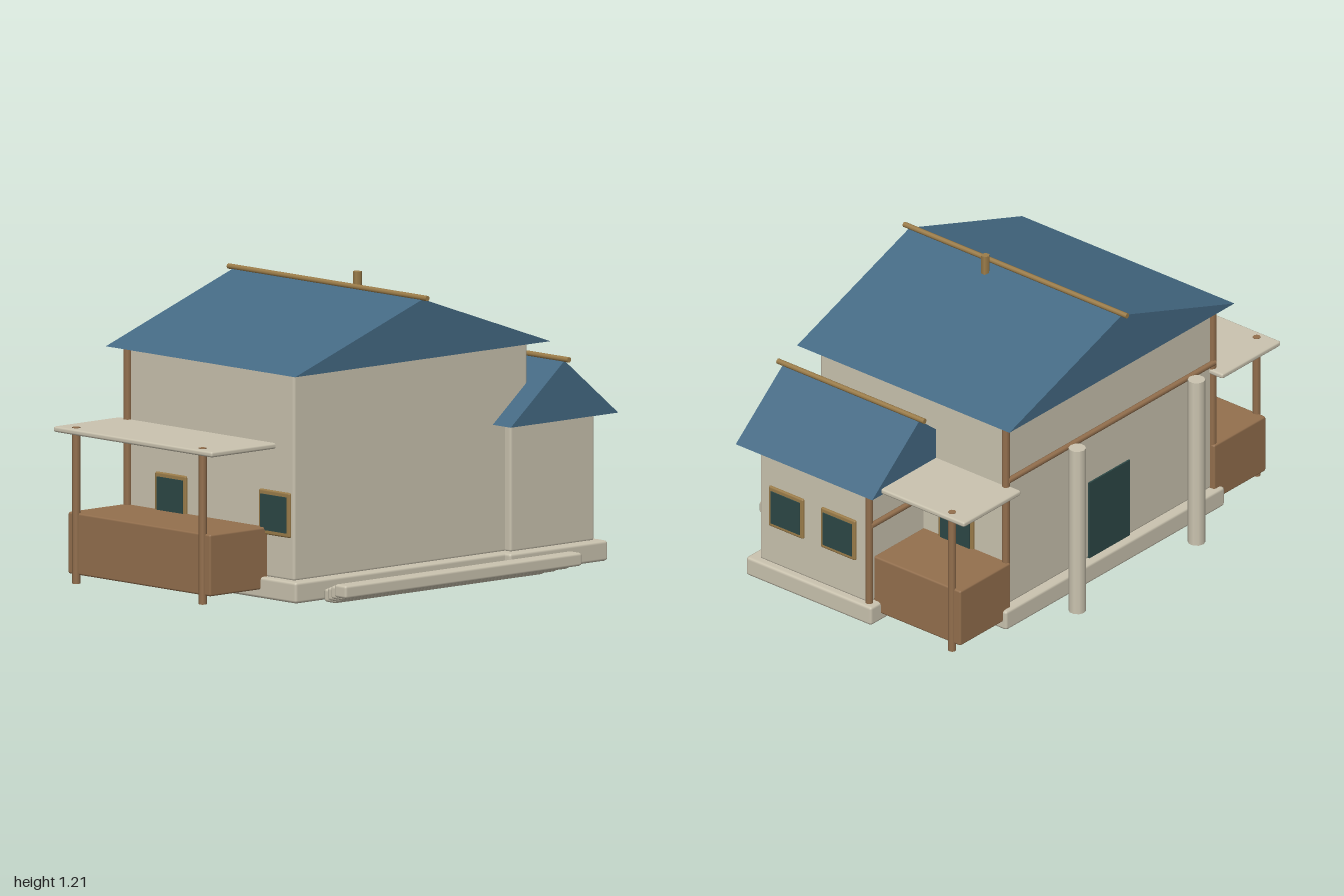
import * as THREE from 'three';
import { RoundedBoxGeometry } from 'three/addons/geometries/RoundedBoxGeometry.js';

const paint = (name, color) => {
  const m = new THREE.MeshStandardMaterial({ color });
  m.name = name;
  return m;
};

export function createModel() {
  const plaster = paint('plaster', 0xcbc4b0);
  const roofBlue = paint('roof blue', 0x456a84);
  const wood = paint('brown wood', 0x94704e);
  const trim = paint('golden trim', 0x9c7d4a);
  const glass = paint('dark glass', 0x2d4846);

  const house = new THREE.Group();
  house.name = 'house';

  const add = (name, geometry, material, parent = house) => {
    const mesh = new THREE.Mesh(geometry, material);
    mesh.name = name;
    parent.add(mesh);
    return mesh;
  };

  // Softly bevelled block given by its extents on each axis
  const block = (name, material, [x0, x1], [y0, y1], [z0, z1], bevel = 0.012) => {
    const w = x1 - x0, h = y1 - y0, d = z1 - z0;
    const r = Math.min(bevel, w * 0.4, h * 0.4, d * 0.4);
    const mesh = add(name, new RoundedBoxGeometry(w, h, d, 1, r), material);
    mesh.position.set((x0 + x1) / 2, (y0 + y1) / 2, (z0 + z1) / 2);
    return mesh;
  };

  // Straight round bar between two points
  const bar = (name, material, from, to, radius, sides = 8) => {
    const a = new THREE.Vector3(...from), b = new THREE.Vector3(...to);
    const dir = b.clone().sub(a);
    const mesh = add(name, new THREE.CylinderGeometry(radius, radius, dir.length(), sides), material);
    mesh.position.copy(a).add(b).multiplyScalar(0.5);
    mesh.quaternion.setFromUnitVectors(new THREE.Vector3(0, 1, 0), dir.normalize());
    return mesh;
  };

  // Solid gable roof with a ridge pole along z
  const gable = (name, [x0, x1], [y0, y1], [z0, z1], poleOverhang) => {
    const apex = (x0 + x1) / 2;
    const outline = new THREE.Shape([
      new THREE.Vector2(x0, y0), new THREE.Vector2(x1, y0), new THREE.Vector2(apex, y1),
    ]);
    const geometry = new THREE.ExtrudeGeometry(outline, { depth: z1 - z0, bevelEnabled: false });
    add(name, geometry, roofBlue).position.z = z0;
    bar(name + 'RidgePole', trim, [apex, y1 + 0.006, z0 - poleOverhang], [apex, y1 + 0.006, z1 + poleOverhang], 0.011);
  };

  // Foundations
  block('mainFoundation', plaster, [-0.69, 0.65], [0, 0.085], [-0.59, 0.46]);
  block('annexFoundation', plaster, [0.44, 0.97], [0.003, 0.085], [-0.16, 0.49]);

  // Walls
  block('mainWalls', plaster, [-0.655, 0.607], [0.08, 0.915], [-0.55, 0.412]);
  block('annexWalls', plaster, [0.485, 0.94], [0.08, 0.6], [-0.125, 0.443]);

  // Roofs and the short chimney post
  gable('mainRoof', [-0.715, 0.663], [0.913, 1.153], [-0.617, 0.483], 0.028);
  gable('annexRoof', [0.418, 0.998], [0.596, 0.834], [-0.19, 0.517], 0.027);
  bar('chimneyPost', trim, [0.028, 1.13, 0.045], [0.028, 1.21, 0.045], 0.018, 6);

  // Timber corner posts and cross beams on the rear walls
  for (const x of [-0.66, 0.605]) {
    bar('rearCornerPost', wood, [x, 0.085, -0.55], [x, 0.913, -0.55], 0.016);
  }
  bar('annexCornerPost', wood, [0.938, 0.085, -0.124], [0.938, 0.597, -0.124], 0.015);
  bar('rearBeam', wood, [-0.66, 0.65, -0.56], [0.605, 0.65, -0.56], 0.012);
  bar('annexBeam', wood, [0.6, 0.435, -0.133], [0.94, 0.435, -0.133], 0.012);

  // Wooden porches with flat canopies and slim posts
  block('rightPorchBox', wood, [-0.962, -0.645], [0.035, 0.282], [-0.572, 0.255], 0.008);
  block('leftPorchBox', wood, [0.6, 0.91], [0.035, 0.282], [-0.572, -0.12], 0.008);
  block('rightCanopy', plaster, [-1, -0.64], [0.6, 0.623], [-0.618, 0.305], 0.009);
  block('leftCanopy', plaster, [0.59, 0.942], [0.6, 0.623], [-0.618, -0.18], 0.009);
  for (const [x, z] of [[-0.96, -0.525], [-0.96, 0.21], [0.905, -0.525]]) {
    bar('porchPost', wood, [x, 0, z], [x, 0.626, z], 0.016);
  }

  // Windows on the side walls: wall x, centre z, outward direction
  const windows = [
    [0.94, 0.3, 1], [0.94, 0.03, 1], [0.607, -0.298, 1],
    [-0.655, -0.298, -1], [-0.655, 0.305, -1],
  ];
  for (const [x, z, out] of windows) {
    const frame = new THREE.Group();
    frame.name = 'window';
    frame.position.set(x, 0.343, z);
    add('windowFrame', new RoundedBoxGeometry(0.02, 0.18, 0.18, 1, 0.007), trim, frame);
    const pane = add('windowPane', new THREE.BoxGeometry(0.008, 0.144, 0.15), glass, frame);
    pane.position.x = out * 0.01;
    house.add(frame);
  }

  // Back door
  const door = add('backDoor', new THREE.BoxGeometry(0.25, 0.34, 0.009), glass);
  door.position.set(-0.022, 0.255, -0.553);

  // Free-standing rear columns
  for (const x of [-0.392, 0.338]) {
    bar('rearColumn', plaster, [x, 0, -0.694], [x, 0.735, -0.694], 0.035, 10);
  }

  // Front steps, each one wider, higher and further forward
  for (let i = 0; i < 4; i++) {
    const half = 0.566 + i * 0.0245;
    const y = 0.006 + i * 0.0135, z = 0.518 + i * 0.046;
    block('frontStep', plaster, [-0.028 - half, -0.028 + half], [y, y + 0.053], [z, z + 0.07], 0.011);
  }

  return house;
}
